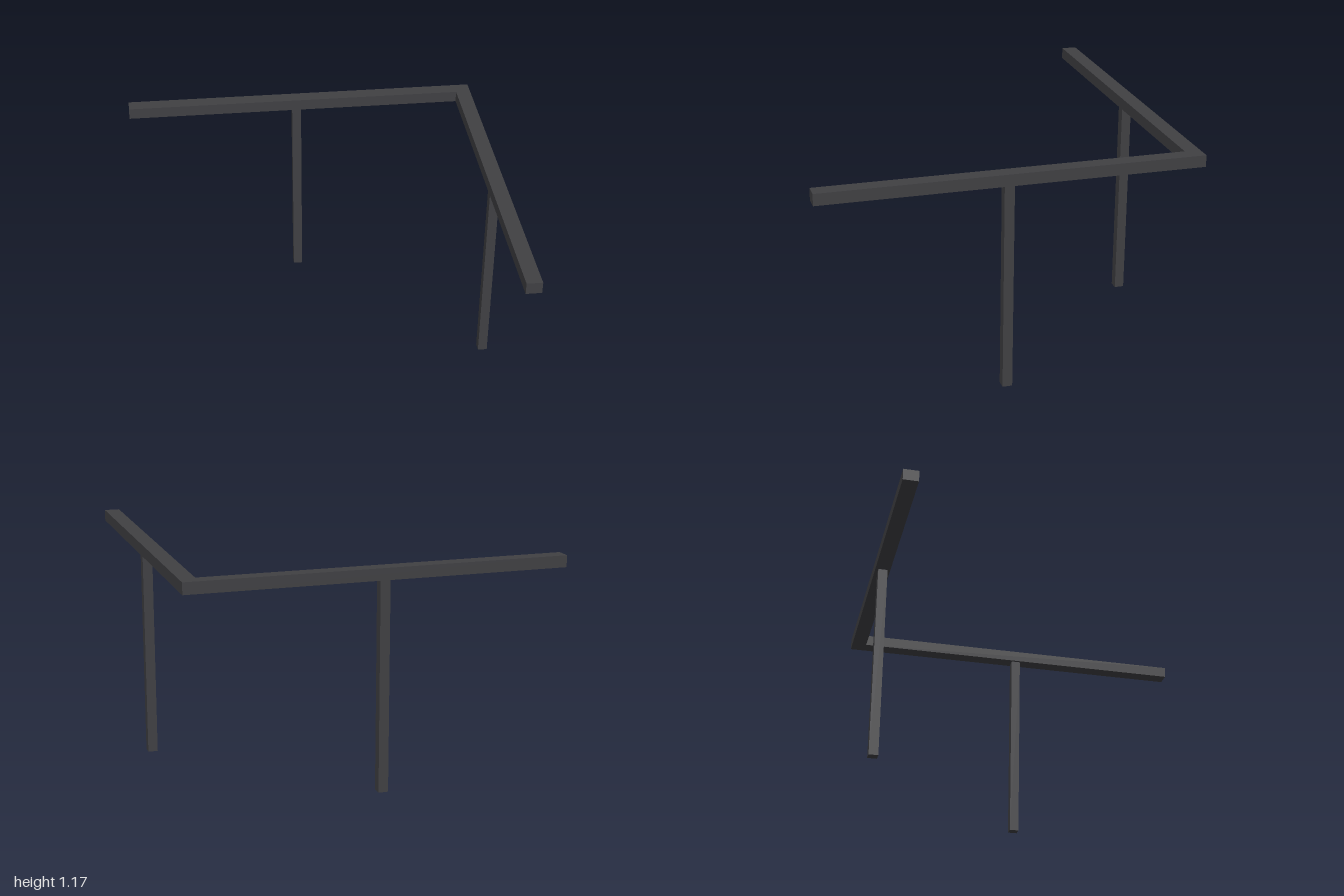
import * as THREE from 'three';

export function createModel() {
  const model = new THREE.Group();
  model.name = 'cornerRailing';
  const darkMetal = new THREE.MeshStandardMaterial({ color: 0x404043 });
  darkMetal.name = 'darkMetal';

  // box given by its minimum and maximum corners
  function bar(name, min, max) {
    const size = max.map((v, i) => v - min[i]);
    const mesh = new THREE.Mesh(new THREE.BoxGeometry(...size), darkMetal);
    mesh.position.set(...max.map((v, i) => (v + min[i]) / 2));
    mesh.name = name;
    model.add(mesh);
  }

  const top = 1.172, under = 1.11, width = 0.083;

  // two rails meeting at the back left corner
  bar('backRail', [-1, under, -1], [1, top, -1 + width]);
  bar('sideRail', [1 - width, under, -1 + width], [1, top, 1]);

  // one post under the middle of each rail
  const posts = [['backPost', -0.025, -0.958], ['sidePost', 0.958, 0.025]];
  const half = 0.026;
  for (const [name, x, z] of posts) {
    bar(name, [x - half, 0, z - half], [x + half, under, z + half]);
  }
  return model;
}
